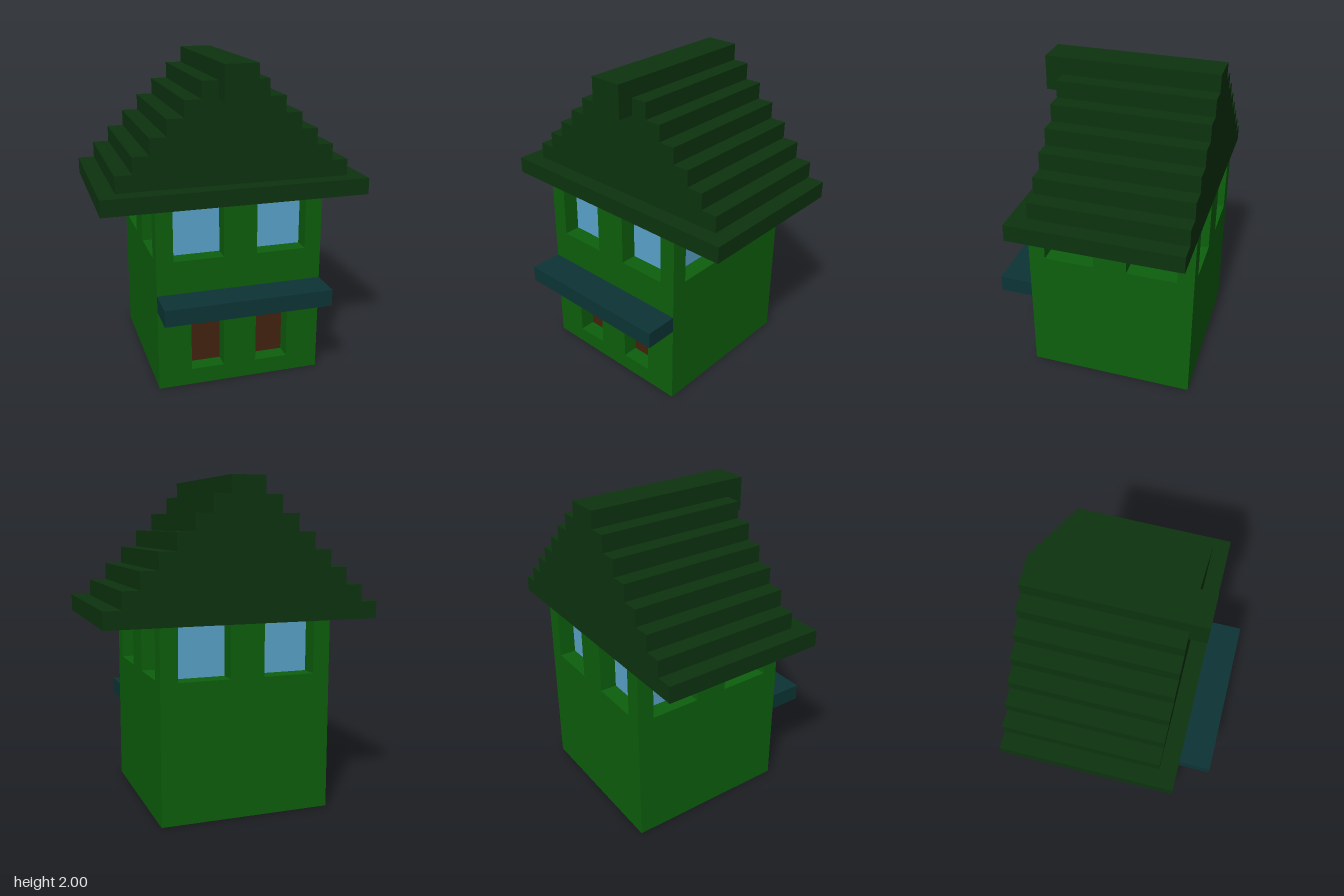
import * as THREE from 'three';

// The house is laid out on a block grid, 19 blocks tall
const U = 2 / 19;

const mat = (name, color) => {
  const m = new THREE.MeshStandardMaterial({ color });
  m.name = name;
  return m;
};

export function createModel() {
  const wallGreen = mat('wall green', 0x0d5f0d);
  const roofGreen = mat('roof dark green', 0x0d330f);
  const glassBlue = mat('glass blue', 0x5aa3cb);
  const awningTeal = mat('awning teal', 0x0d3436);
  const doorBrown = mat('door brown', 0x43220e);

  const house = new THREE.Group();
  house.name = 'house';

  const add = (name, geometry, material) => {
    const mesh = new THREE.Mesh(geometry, material);
    mesh.name = name;
    house.add(mesh);
    return mesh;
  };
  // Box given by its limits in blocks
  const box = (name, material, x0, x1, y0, y1, z0, z1) =>
    add(name, new THREE.BoxGeometry((x1 - x0) * U, (y1 - y0) * U, (z1 - z0) * U), material)
      .position.set((x0 + x1) / 2 * U, (y0 + y1) / 2 * U, (z0 + z1) / 2 * U);
  // Outline in blocks, extruded from z0 to z1
  const slab = (name, material, points, holes, z0, z1) => {
    const toVec = ([x, y]) => new THREE.Vector2(x * U, y * U);
    const shape = new THREE.Shape(points.map(toVec));
    holes.forEach(h => shape.holes.push(new THREE.Path(h.map(toVec))));
    const geometry = new THREE.ExtrudeGeometry(shape, { depth: (z1 - z0) * U, bevelEnabled: false });
    add(name, geometry, material).position.z = z0 * U;
  };

  // Front and back walls, notched for the windows
  const wall = [[-5, 0], [5, 0], [5, 11], [4, 11], [4, 8], [1, 8], [1, 11],
    [-1, 11], [-1, 8], [-4, 8], [-4, 11], [-5, 11]];
  const doorHoles = [-3, 1].map(x => [[x, 1], [x, 4], [x + 2, 4], [x + 2, 1]]);
  slab('frontWall', wallGreen, wall, doorHoles, 3, 4);
  slab('backWall', wallGreen, wall, [], -6, -5);

  // Side walls with a post between their windows
  for (const [side, x] of [['left', 4], ['right', -5]]) {
    box(side + 'Wall', wallGreen, x, x + 1, 0, 8, -5, 3);
    box(side + 'WindowPost', wallGreen, x, x + 1, 8, 11, -2, 0);
  }

  // Core: solid below, glass behind all the window openings
  box('houseCore', wallGreen, -4, 4, 0, 8, -5, 3);
  box('windowGlass', glassBlue, -4, 4, 8, 11, -5, 3);

  // Recessed doors
  for (const [side, x] of [['left', 1], ['right', -3]]) {
    box(side + 'Door', doorBrown, x, x + 2, 1, 4, 3, 3.04);
  }

  // Awning over the doors
  box('awning', awningTeal, -5, 5, 5, 6, 4, 6);

  // Stepped roof, with the front eave and ridge end standing proud
  const steps = [];
  for (let i = 0; i < 8; i++) steps.push([8 - i, 11 + i], [8 - i, 12 + i]);
  const mirrored = steps.map(([x, y]) => [-x, y]).reverse();
  slab('steppedRoof', roofGreen, [...steps, ...mirrored], [], -6, 3);
  box('frontEave', roofGreen, -8, 8, 11, 12, 3, 4);
  box('ridgeEnd', roofGreen, -1, 1, 17, 19, 3, 4);

  return house;
}
